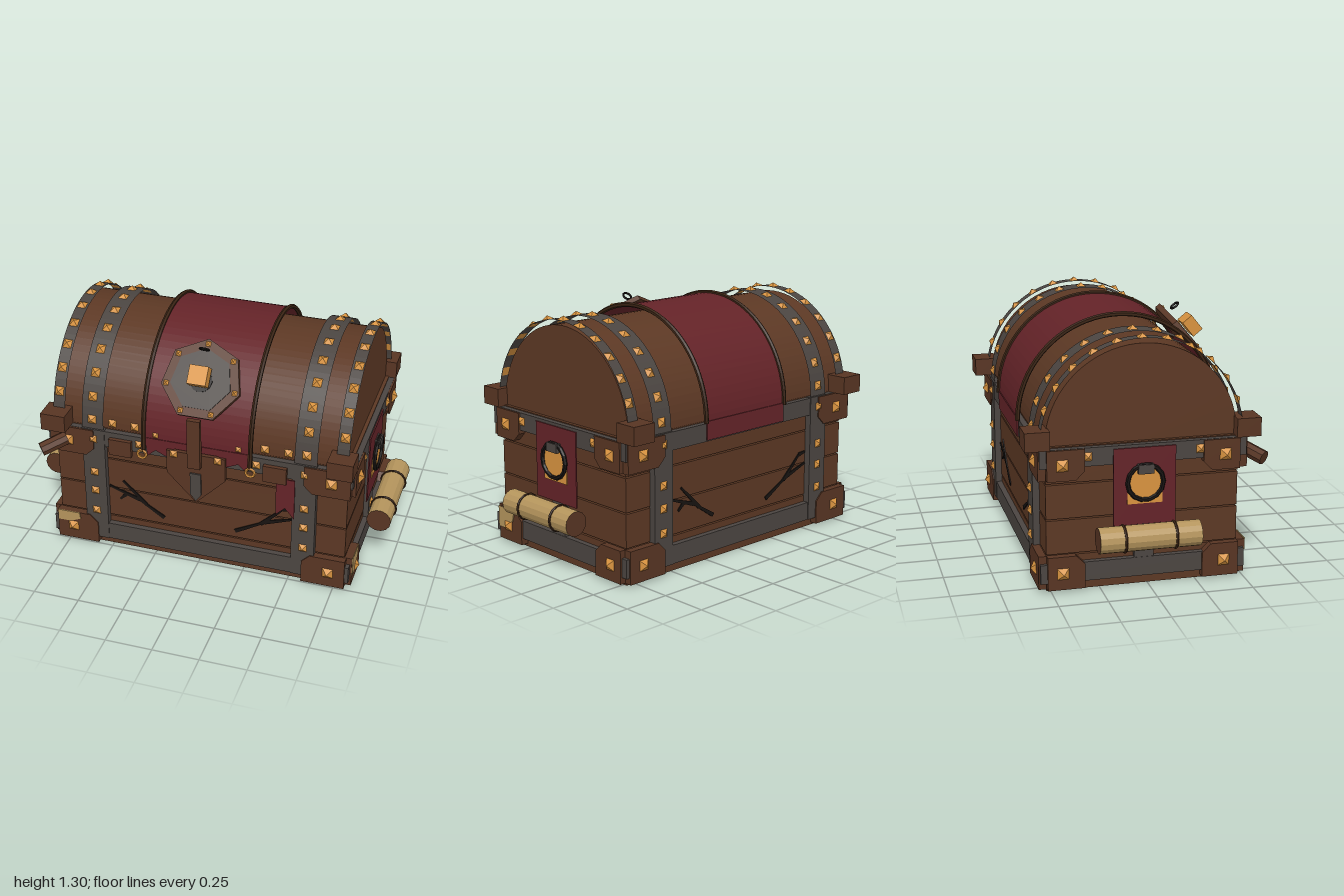
import * as THREE from 'three';

const material = (name, color, flat = false) => {
  const m = new THREE.MeshStandardMaterial({ color, side: THREE.DoubleSide, flatShading: flat });
  m.name = name;
  return m;
};

export function createModel() {
  const wood = material('wood', 0x5c3824, true);
  const leather = material('leather', 0x583523, true);
  const iron = material('iron', 0x4b4541, true);
  const gold = material('gold', 0xd8933f, true);
  const red = material('red cloth', 0x642328, true);
  const parchment = material('parchment', 0xb4945c, true);
  const rope = material('rope', 0x3a2414, true);
  const black = material('black', 0x171311, true);

  const root = new THREE.Group();
  root.name = 'treasureChest';
  const chest = new THREE.Group();
  chest.name = 'chest';
  chest.position.z = -0.025;
  root.add(chest);

  const add = (parent, name, geo, mat, x = 0, y = 0, z = 0) => {
    const m = new THREE.Mesh(geo, mat);
    m.name = name;
    m.position.set(x, y, z);
    parent.add(m);
    return m;
  };
  // box given by its limits
  const box = (parent, name, mat, x0, x1, y0, y1, z0, z1) => add(parent, name,
    new THREE.BoxGeometry(Math.abs(x1 - x0), y1 - y0, z1 - z0), mat, (x0 + x1) / 2, (y0 + y1) / 2, (z0 + z1) / 2);
  // flat outline in xy, thickened towards +z
  const plate = (parent, name, mat, points, z, depth) => add(parent, name,
    new THREE.ExtrudeGeometry(new THREE.Shape(points.map(p => new THREE.Vector2(...p))), { depth, bevelEnabled: false }),
    mat, 0, 0, z);
  const up = new THREE.Vector3(0, 1, 0);
  const stud = (parent, x, y, z, size = 0.05, normal = [0, 0, 1]) => {
    const geo = new THREE.ConeGeometry(size * 0.707, size * 0.45, 4).rotateY(Math.PI / 4).translate(0, size * 0.2, 0);
    add(parent, 'stud', geo, gold, x, y, z).quaternion.setFromUnitVectors(up, new THREE.Vector3(...normal).normalize());
  };
  // rod between two points
  const rod = (parent, name, mat, a, b, r, sides) => {
    const p = new THREE.Vector3(...a), q = new THREE.Vector3(...b);
    const m = add(parent, name, new THREE.CylinderGeometry(r, r, p.distanceTo(q), sides), mat);
    m.position.copy(p).add(q).multiplyScalar(0.5);
    m.quaternion.setFromUnitVectors(up, q.sub(p).normalize());
  };
  // corner plate with chamfered inner corner
  const bracket = (parent, s, outer, inner, yEdge, yIn, z) => {
    const c = 0.045, d = Math.sign(yEdge - yIn) * c;
    plate(parent, 'cornerBracket', leather, [[s * outer, yEdge], [s * inner, yEdge], [s * inner, yIn + d],
      [s * (inner + c), yIn], [s * outer, yIn]], z, 0.04);
  };

  // plank body around a dark core
  [[0, 0.185], [0.193, 0.37], [0.378, 0.555], [0.563, 0.75]].forEach(([a, b]) =>
    box(chest, 'plank', wood, -0.8, 0.8, a, b, -0.495, 0.495));
  box(chest, 'core', black, -0.73, 0.73, 0.05, 0.7, -0.425, 0.425);

  // barrel lid and the shells that wrap it
  const shell = (name, mat, r, x, w, open) => add(chest, name,
    new THREE.CylinderGeometry(r, r, w, 40, 1, open, 0, Math.PI).rotateZ(Math.PI / 2), mat, x, 0.75, 0);
  shell('lid', wood, 0.493, 0, 1.56, false);
  shell('lidCloth', red, 0.535, 0, 0.57, true);
  for (const s of [1, -1]) {
    for (const [x, w] of [[0.768, 0.065], [0.58, 0.12]]) {
      shell('lidBand', iron, 0.522, s * x, w, true);
      for (let i = 0; i < 13; i++) {
        const a = (6 + 14 * i) * Math.PI / 180;
        stud(chest, s * (x + 0.003), 0.75 + 0.522 * Math.sin(a), 0.522 * Math.cos(a), 0.048, [0, Math.sin(a), Math.cos(a)]);
      }
    }
    add(chest, 'lidRope', new THREE.TorusGeometry(0.537, 0.013, 6, 40, Math.PI).rotateY(Math.PI / 2), rope, s * 0.29, 0.75, 0);
    rod(chest, 'ropeEnd', rope, [s * 0.29, 0.75, 0.537], [s * 0.29, 0.68, 0.55], 0.013, 6);
    add(chest, 'ropeRing', new THREE.TorusGeometry(0.024, 0.008, 5, 10), gold, s * 0.295, 0.665, 0.555);
    for (const z of [0.54, -0.54]) box(chest, 'cornerBlock', leather, s * 0.705, s * 0.84, 0.745, 0.842, z - 0.063, z + 0.063);
  }

  // front and back ironwork
  const cracks = [[-0.2, 0.235, -0.34, 0.325], [-0.34, 0.325, -0.51, 0.385], [-0.3, 0.3, -0.43, 0.43],
    [-0.41, 0.35, -0.45, 0.31], [0.2, 0.235, 0.36, 0.325], [0.36, 0.325, 0.51, 0.375], [0.34, 0.31, 0.46, 0.43],
    [0.46, 0.43, 0.51, 0.44]];
  for (const turn of [0, Math.PI]) {
    const face = new THREE.Group();
    face.name = turn ? 'backFace' : 'frontFace';
    face.rotation.y = turn;
    chest.add(face);
    box(face, 'lowerRail', iron, -0.8, 0.8, 0.05, 0.15, 0.49, 0.526);
    box(face, 'upperRail', iron, -0.8, 0.8, 0.65, 0.745, 0.49, 0.526);
    for (const s of [1, -1]) {
      box(face, 'uprightBand', iron, s * 0.515, s * 0.64, 0.05, 0.748, 0.49, 0.53);
      bracket(face, s, 0.81, 0.575, 0.015, 0.19, 0.497);
      bracket(face, s, 0.82, 0.575, 0.743, 0.585, 0.497);
      for (const y of [0.1, 0.665]) stud(face, s * 0.72, y, 0.537, 0.06);
      for (const y of [0.23, 0.36, 0.48, 0.69]) stud(face, s * 0.58, y, 0.53, 0.046);
    }
    for (const [x0, y0, x1, y1] of cracks) {
      const dx = x1 - x0, dy = y1 - y0, k = 0.011 / Math.hypot(dx, dy);
      plate(face, 'crack', black, [[x0 - dy * k, y0 + dx * k], [x0 + dy * k, y0 - dx * k],
        [x1 + dy * k * 0.5, y1 - dx * k * 0.5], [x1 - dy * k * 0.5, y1 + dx * k * 0.5]], 0.495, 0.006);
    }
  }

  // side ironwork, banner, seal, ring handle and scroll
  for (const s of [1, -1]) {
    const face = new THREE.Group();
    face.name = s > 0 ? 'leftSide' : 'rightSide';
    face.rotation.y = s * Math.PI / 2;
    chest.add(face);
    box(face, 'lowerRail', iron, -0.53, 0.53, 0.05, 0.15, 0.79, 0.83);
    box(face, 'upperRail', iron, -0.53, 0.53, 0.65, 0.745, 0.79, 0.83);
    box(face, 'centreStrap', iron, -0.05, 0.05, 0.15, 0.65, 0.79, 0.828);
    for (const t of [1, -1]) {
      bracket(face, t, 0.495, 0.305, 0.015, 0.19, 0.8);
      bracket(face, t, 0.495, 0.305, 0.743, 0.585, 0.8);
      for (const y of [0.1, 0.665]) stud(face, t * 0.418, y, 0.84, 0.062);
      stud(face, t * 0.288, 0.7, 0.83, 0.046);
    }
    stud(face, 0, 0.22, 0.828, 0.05);
    box(face, 'banner', red, -0.16, 0.16, 0.33, 0.73, 0.831, 0.838);
    box(face, 'sealPlate', gold, -0.09, 0.09, 0.44, 0.555, 0.838, 0.843);
    add(face, 'sealDisc', new THREE.CylinderGeometry(0.092, 0.092, 0.008, 20).rotateX(Math.PI / 2), gold, 0, 0.555, 0.845);
    add(face, 'ringHandle', new THREE.TorusGeometry(0.092, 0.012, 6, 14), black, 0, 0.553, 0.852);
    box(face, 'ringMount', iron, -0.04, 0.04, 0.6, 0.647, 0.838, 0.868);
    add(face, 'scroll', new THREE.CylinderGeometry(0.066, 0.066, 0.52, 14).rotateZ(Math.PI / 2),
      [parchment, leather, leather], 0, 0.293, 0.925);
    for (const u of [0.13, -0.13])
      add(face, 'scrollTie', new THREE.TorusGeometry(0.066, 0.008, 6, 16).rotateY(Math.PI / 2), rope, u, 0.293, 0.925);
  }

  // torn parchment scraps
  plate(chest, 'parchmentScrap', parchment, [[-0.805, 0.13], [-0.73, 0.13], [-0.7, 0.145], [-0.675, 0.155], [-0.68, 0.193], [-0.805, 0.193]], 0.538, 0.005);
  const scrap = plate(chest, 'parchmentScrap', parchment, [[-0.495, 0.08], [-0.42, 0.08], [-0.4, 0.12], [-0.375, 0.13], [-0.36, 0.195], [-0.495, 0.195]], 0, 0.005);
  scrap.rotation.y = Math.PI / 2;
  scrap.position.x = 0.841;

  // cloth ends hanging below the lid
  plate(chest, 'clothTails', red, [[-0.285, 0.76], [0.285, 0.76], [0.27, 0.65], [0.225, 0.69], [0.16, 0.66], [0.12, 0.72],
    [-0.12, 0.72], [-0.16, 0.66], [-0.225, 0.69], [-0.27, 0.65]], 0.532, 0.006);
  box(chest, 'clothBackEnd', red, -0.285, 0.285, 0.66, 0.76, -0.54, -0.532);
  plate(chest, 'frontPennant', red, [[0.43, 0.65], [0.53, 0.65], [0.53, 0.41], [0.48, 0.47], [0.43, 0.42]], 0.534, 0.006);

  // hasp and front fittings
  plate(chest, 'haspPlate', leather, [[-0.16, 0.715], [0.16, 0.715], [0.16, 0.58], [0, 0.415], [-0.16, 0.58]], 0.53, 0.022);
  box(chest, 'haspStrap', leather, -0.035, 0.035, 0.65, 0.94, 0.56, 0.588);
  plate(chest, 'haspTongue', iron, [[-0.03, 0.6], [0.03, 0.6], [0.03, 0.47], [0, 0.43], [-0.03, 0.47]], 0.552, 0.009);
  for (const s of [1, -1]) {
    box(chest, 'frontTab', leather, s * 0.36, s * 0.485, 0.62, 0.715, 0.526, 0.548);
    for (const x of [0.355, 0.48]) stud(chest, s * x, 0.78, 0.492, 0.045);
    stud(chest, s * 0.225, 0.78, 0.534, 0.03);
    stud(chest, s * 0.12, 0.697, 0.552, 0.04);
    stud(chest, s * 0.32, 0.7, 0.528, 0.042);
  }

  // tilted seven-sided lock plate with raised lock
  const lock = new THREE.Group();
  lock.name = 'lock';
  lock.position.set(0, 1.09, 0.425);
  lock.rotation.x = -Math.atan2(0.625, 0.78);
  chest.add(lock);
  const heptagon = r => Array.from({ length: 7 }, (_, i) => {
    const a = Math.PI / 2 + i * Math.PI * 2 / 7;
    return [r * Math.cos(a), r * Math.sin(a)];
  });
  plate(lock, 'lockPlate', leather, heptagon(0.215), -0.012, 0.03);
  plate(lock, 'lockInset', iron, heptagon(0.165), 0.018, 0.006);
  heptagon(0.188).forEach(([x, y]) => stud(lock, x, y, 0.018, 0.028));
  add(lock, 'keyhole', new THREE.CylinderGeometry(0.06, 0.06, 0.006, 12).rotateX(Math.PI / 2), black, 0, -0.005, 0.026);
  box(lock, 'lockBody', gold, -0.05, 0.05, -0.04, 0.06, 0.045, 0.11);
  add(lock, 'lockRing', new THREE.TorusGeometry(0.024, 0.006, 6, 14).rotateX(Math.PI / 2), black, 0, 0.15, 0.075);

  // stub of a torch at the front corner
  rod(chest, 'torchStub', leather, [-0.73, 0.67, 0.53], [-0.84, 0.628, 0.62], 0.038, 8);

  return root;
}
